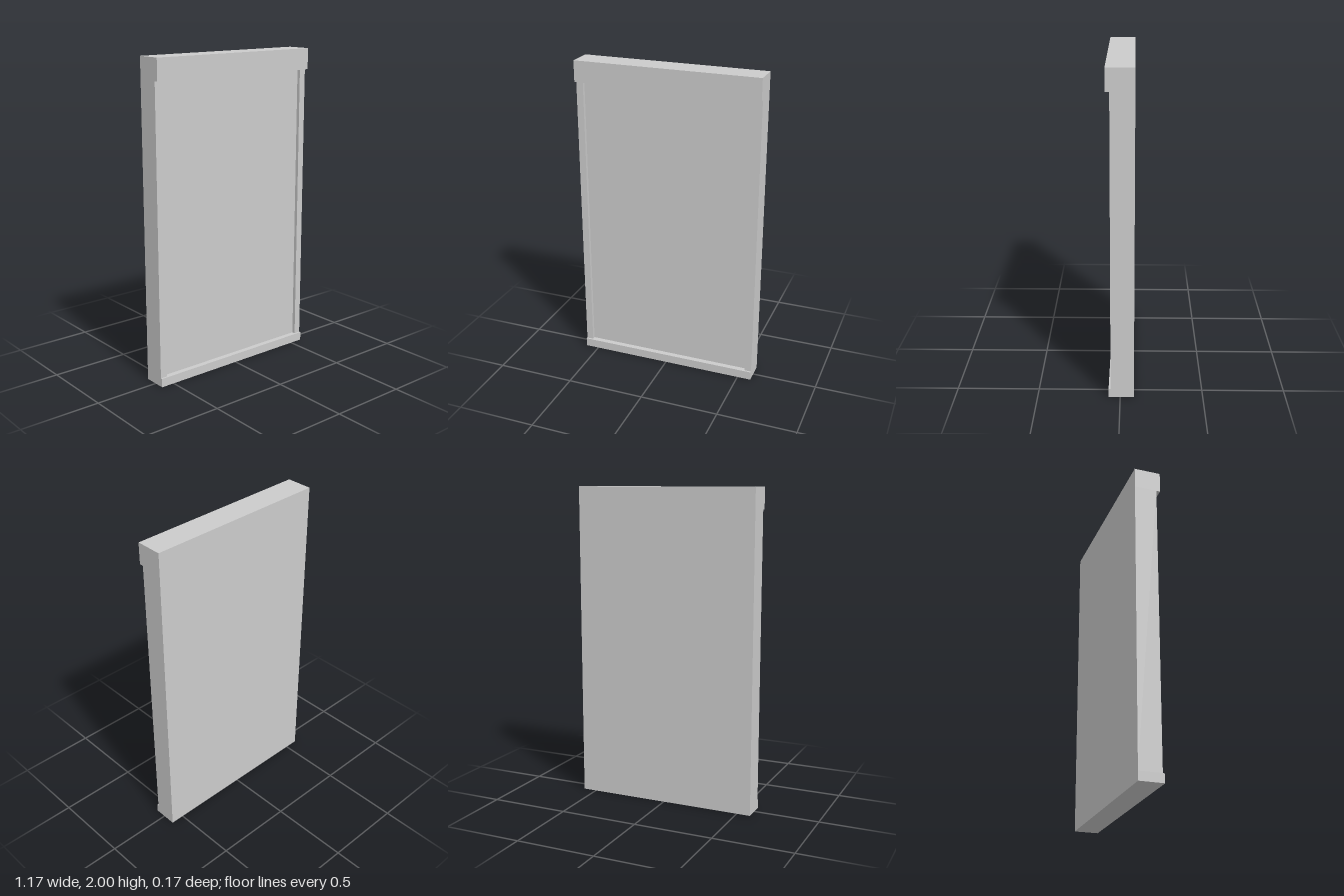
import * as THREE from 'three';

const material = new THREE.MeshStandardMaterial({ color: 0xcccccc, flatShading: true });
const HALF_W = 0.587, BACK = -0.083;
const SILL_TOP = 0.055, HEADER_BOTTOM = 1.867, STILE_INNER = 0.543;

// Box given by its limits; every part shares the same flat back
function slab(name, x0, x1, y0, y1, front) {
  const geometry = new THREE.BoxGeometry(x1 - x0, y1 - y0, front - BACK);
  const mesh = new THREE.Mesh(geometry, material);
  mesh.name = name;
  mesh.position.set((x0 + x1) / 2, (y0 + y1) / 2, (front + BACK) / 2);
  return mesh;
}

export function createModel() {
  const model = new THREE.Group();
  model.name = 'framedPanel';

  // Full-width rails at the top and bottom
  model.add(slab('header', -HALF_W, HALF_W, HEADER_BOTTOM, 2, 0.083));
  model.add(slab('sill', -HALF_W, HALF_W, 0, SILL_TOP, 0.07));

  // Narrow upright stiles
  model.add(slab('leftStile', STILE_INNER, HALF_W, SILL_TOP, HEADER_BOTTOM, 0.058));
  model.add(slab('rightStile', -HALF_W, -STILE_INNER, SILL_TOP, HEADER_BOTTOM, 0.058));

  // Recessed panel
  model.add(slab('panel', -STILE_INNER, STILE_INNER, SILL_TOP, HEADER_BOTTOM, 0.036));
  return model;
}
